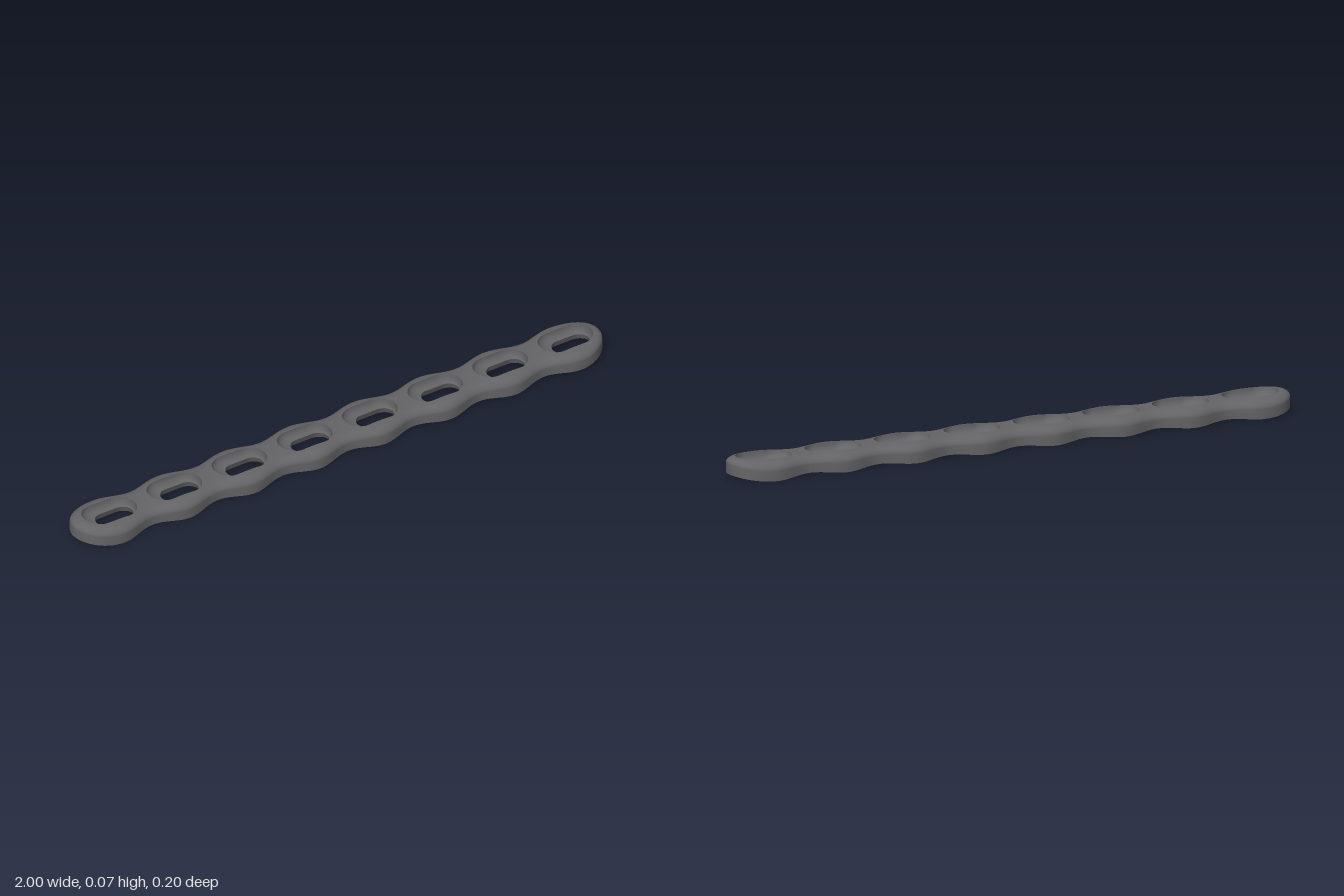
import * as THREE from 'three';
import { toCreasedNormals } from 'three/addons/utils/BufferGeometryUtils.js';

const COUNT = 8, FIRST = -0.87, PITCH = 1.74 / (COUNT - 1);
const LOBE = 0.1, CAP = 0.13, SLOT_SHIFT = 0.025;
const lerp = THREE.MathUtils.lerp;

// Scalloped half width along the plate
const wave = x => Math.cos((2 * Math.PI * (x - FIRST)) / PITCH);
const halfWidth = x => 0.0875 + 0.0125 * wave(x);

// Distance inward from the outline, with elliptical ends
function inset(x, z) {
  const over = Math.abs(x) + FIRST;
  if (over > 0) return (1 - Math.hypot(over / CAP, z / LOBE)) * LOBE;
  return halfWidth(x) - Math.abs(z);
}

// Arched underside and arched, round-edged top
const bottomY = z => 0.015 * (1 - (z / LOBE) ** 2);
function topY(x, z) {
  const swell = Math.abs(x) > -FIRST ? 1 : wave(x);
  const u = 1 - THREE.MathUtils.clamp(inset(x, z) / 0.03, 0, 1);
  return 0.065 + 0.003 * swell - 1.5 * z * z - 0.02 * (1 - Math.sqrt(1 - u * u));
}

// Point on a stadium outline in direction (c, s)
function stadium(cx, length, r, c, s) {
  const a = length - r, ac = Math.abs(c), as = Math.abs(s);
  const k = ac * r <= a * as ? r / as : a * ac + Math.sqrt(Math.max(0, r * r - a * a * s * s));
  return [cx + k * c, k * s];
}

// Closed boundary of one cell: front edge, right end, back edge, left end
function cellPath(i) {
  const lobe = FIRST + i * PITCH, isFirst = i === 0, isLast = i === COUNT - 1;
  const x0 = isFirst ? lobe : lobe - PITCH / 2, x1 = isLast ? lobe : lobe + PITCH / 2;
  const path = [], N = 28;
  const end = (x, side, capped) => {
    for (let k = 0; k < N; k++) {
      const a = side * (Math.PI / 2 - (Math.PI * k) / N);
      path.push({
        x: capped ? x + side * CAP * Math.cos(a) : x,
        z: halfWidth(x) * Math.sin(a), seam: !capped && side
      });
    }
  };
  for (let k = 0; k < N; k++) {
    const x = lerp(x0, x1, k / N);
    path.push({ x, z: halfWidth(x), seam: k === 0 && !isFirst && -1 });
  }
  end(x1, 1, isLast);
  for (let k = 0; k < N; k++) {
    const x = lerp(x1, x0, k / N);
    path.push({ x, z: -halfWidth(x), seam: k === 0 && !isLast && 1 });
  }
  end(x0, -1, isFirst);
  return path;
}

// Rings run from the lower edge over the top, through the slot and back underneath
function addCell(i, out) {
  const slot = FIRST + i * PITCH + SLOT_SHIFT, path = cellPath(i);
  const columns = path.map(({ x, z }) => {
    const len = Math.hypot(x - slot, z), c = (x - slot) / len, s = z / len;
    const rim = stadium(slot - 0.02, 0.095, 0.056, c, s);
    const neck = stadium(slot, 0.067, 0.035, c, s);
    const under = stadium(slot, 0.073, 0.041, c, s);
    const col = [[x, bottomY(z), z]];
    for (let k = 0; k <= 10; k++) {
      const t = (k / 10) ** 2, px = lerp(x, rim[0], t), pz = lerp(z, rim[1], t);
      col.push([px, topY(px, pz), pz]);
    }
    const rimY = topY(...rim);
    for (let k = 1; k <= 6; k++) {
      const a = (k / 6) * Math.PI / 2, h = 1 - Math.cos(a);
      col.push([lerp(rim[0], neck[0], h), lerp(rimY, 0.033, Math.sin(a)), lerp(rim[1], neck[1], h)]);
    }
    col.push([under[0], bottomY(under[1]), under[1]]);
    for (let k = 1; k <= 4; k++) {
      const px = lerp(under[0], x, k / 4), pz = lerp(under[1], z, k / 4);
      col.push([px, bottomY(pz), pz]);
    }
    return col;
  });
  columns.forEach((p, j) => {
    const n = (j + 1) % columns.length, q = columns[n];
    // no wall where neighbouring cells join
    const joined = path[j].seam && path[j].seam === path[n].seam;
    for (let r = joined ? 1 : 0; r < p.length - 1; r++) {
      out.push(...p[r], ...q[r], ...q[r + 1], ...p[r], ...q[r + 1], ...p[r + 1]);
    }
  });
}

export function createModel() {
  const group = new THREE.Group();
  group.name = 'slottedPlate';
  const metal = new THREE.MeshStandardMaterial({ color: 0x646466 });
  metal.name = 'dark grey metal';

  const positions = [];
  for (let i = 0; i < COUNT; i++) addCell(i, positions);
  let geometry = new THREE.BufferGeometry();
  geometry.setAttribute('position', new THREE.Float32BufferAttribute(positions, 3));
  // enlarge while smoothing so close vertices stay distinct
  geometry.scale(100, 100, 100);
  geometry = toCreasedNormals(geometry, 0.7);
  geometry.scale(0.01, 0.01, 0.01);

  const plate = new THREE.Mesh(geometry, metal);
  plate.name = 'plate';
  group.add(plate);
  return group;
}
